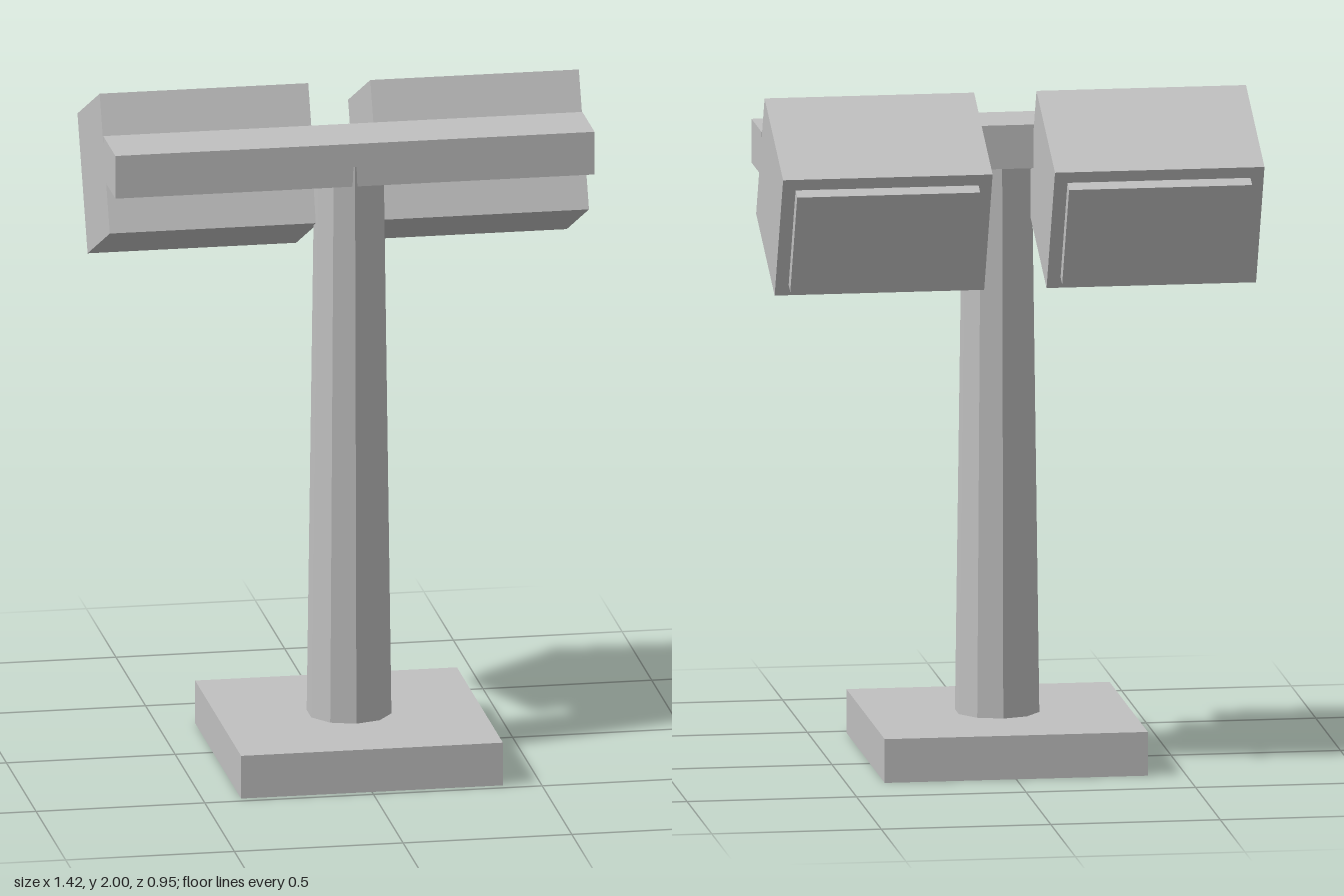
import * as THREE from 'three';

export function createModel() {
  const root = new THREE.Group();
  root.name = 'twinHeadPostLamp';
  const grey = new THREE.MeshStandardMaterial({ color: 0xc0c0c0 });
  grey.name = 'plain grey';
  grey.flatShading = true;

  const add = (name, geometry, x, y, z, parent = root) => {
    const mesh = new THREE.Mesh(geometry, grey);
    mesh.name = name;
    mesh.position.set(x, y, z);
    parent.add(mesh);
    return mesh;
  };
  const box = (w, h, d) => new THREE.BoxGeometry(w, h, d);
  const axisZ = 0.087; // the base, post and crossbar share this depth

  // Square foot, tapered ten-sided post and crossbar
  add('base', box(0.776, 0.13, 0.776), 0, 0.065, axisZ);
  add('post', new THREE.CylinderGeometry(0.102, 0.125, 1.69, 10), 0, 0.975, axisZ);
  add('crossbar', box(1.42, 0.13, 0.205), 0, 1.825, 0.085);

  // Two tilted heads, each with a raised panel on its downward-facing back
  for (const side of [-1, 1]) {
    const head = new THREE.Group();
    head.name = side > 0 ? 'leftHead' : 'rightHead';
    head.position.set(side * 0.401, 1.728, -0.18);
    head.rotation.x = -0.428;
    root.add(head);
    add('housing', box(0.618, 0.413, 0.413), 0, 0, 0, head);
    add('panel', box(0.54, 0.338, 0.05), 0, 0, -0.218, head);
  }
  return root;
}
